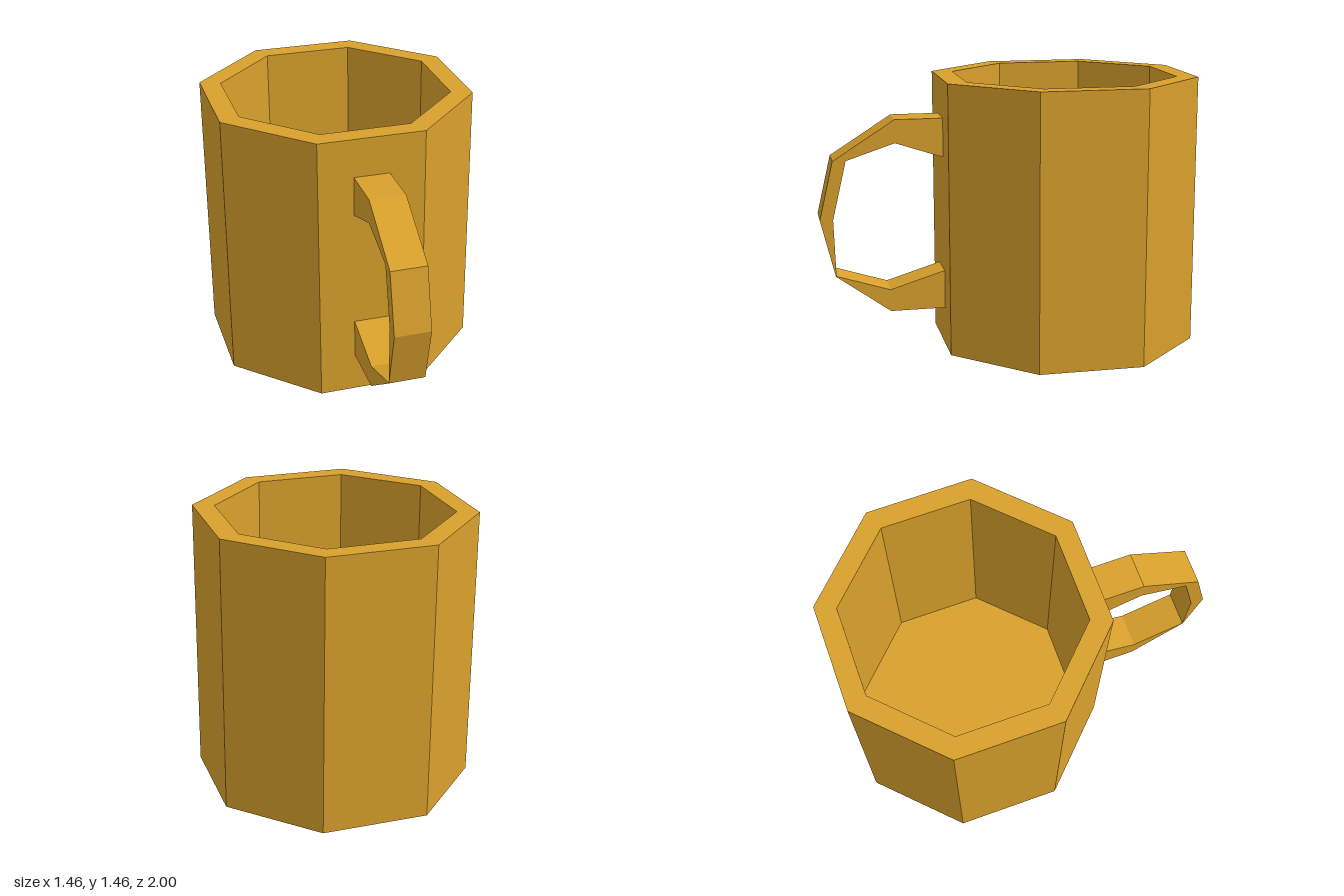
import * as THREE from 'three';

const SIDES = 8;
const RADIUS = 0.73, INNER = 0.615, HEIGHT = 1.46, FLOOR = 0.11;
const HANDLE_WIDTH = 0.187;

export function createModel() {
  const model = new THREE.Group();
  model.name = 'mug';
  const material = new THREE.MeshStandardMaterial({ color: 0xd8a02c, flatShading: true });

  // Eight-sided cup: base, outer wall, rim, inner wall and floor in one profile
  const profile = [
    [0, 0], [RADIUS, 0], [RADIUS, HEIGHT],
    [INNER, HEIGHT], [INNER, FLOOR], [0, FLOOR],
  ].map(([x, y]) => new THREE.Vector2(x, y));
  const cup = new THREE.Mesh(new THREE.LatheGeometry(profile, SIDES), material);
  cup.name = 'cup';

  // Handle outline as (distance from cup axis, height): outer edge down, inner edge back up
  const wall = RADIUS * Math.cos(Math.PI / SIDES);
  const outline = [
    [wall, 1.255], [0.93, 1.255], [1.26, 1.045], [1.335, 0.73], [1.26, 0.42], [0.97, 0.21], [wall, 0.21],
    [wall, 0.42], [0.97, 0.33], [1.257, 0.422], [1.265, 0.73], [1.19, 1.045], [0.93, 1.13], [wall, 1.045],
  ].map(([x, y]) => new THREE.Vector2(x, y));
  const handleGeometry = new THREE.ExtrudeGeometry(new THREE.Shape(outline), {
    depth: HANDLE_WIDTH, bevelEnabled: false,
  });
  handleGeometry.translate(0, 0, -HANDLE_WIDTH / 2);
  const handle = new THREE.Mesh(handleGeometry, material);
  handle.name = 'handle';
  // Point the handle straight out of the front right wall
  handle.rotation.y = -5 * Math.PI / 8;

  model.add(cup, handle);
  // Shift back so cup and handle together are centred
  for (const part of model.children) part.position.z = -0.272;
  return model;
}
